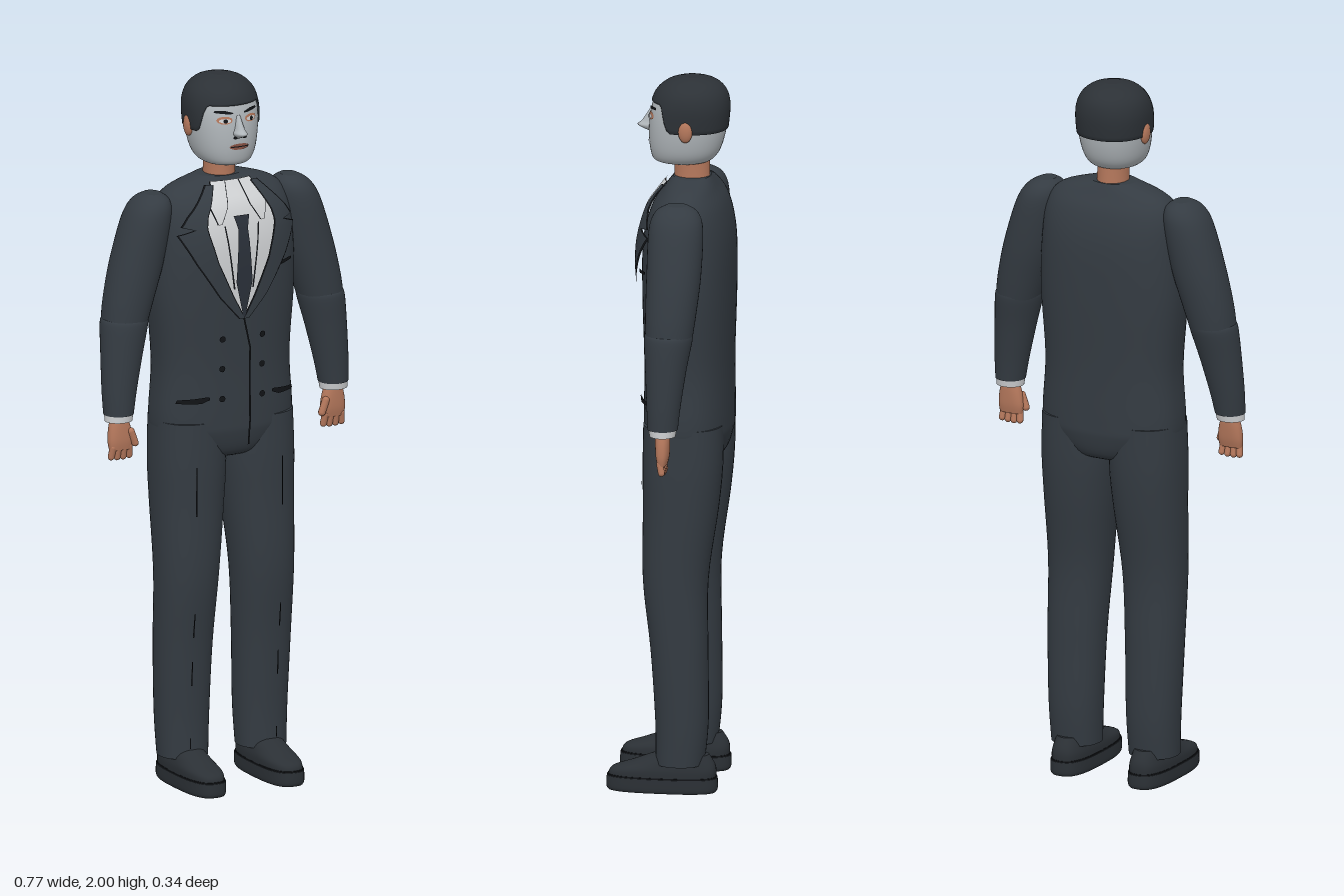
import * as THREE from 'three';

const paint = (name, color) => {
  const m = new THREE.MeshStandardMaterial({ color });
  m.name = name;
  return m;
};
const suit = paint('suit cloth', 0x343b42), hairMat = paint('hair', 0x2c3136);
const shirt = paint('shirt white', 0xcfd1d3), faceMat = paint('pale face', 0xb0b6ba);
const skin = paint('skin', 0xb5785c), shoeMat = paint('shoe leather', 0x2b3035);
const ink = paint('black seams', 0x111316), tieMat = paint('tie', 0x2a3039), lip = paint('lips', 0x8c5546);

// Cross-section rows are [y, cx, cz, rx, rz, squareness], from the bottom up
const torsoRows = [
  [0.925, 0, -0.043, 0.08, 0.06, 2.2], [0.945, 0, -0.043, 0.135, 0.1, 2.3], [1.0, 0, -0.043, 0.197, 0.118, 2.4],
  [1.05, 0, -0.043, 0.207, 0.12, 2.5], [1.2, 0, -0.043, 0.199, 0.119, 2.5], [1.4, 0, -0.043, 0.213, 0.124, 2.5],
  [1.55, 0, -0.043, 0.208, 0.122, 2.5], [1.64, 0, -0.045, 0.197, 0.102, 2.4], [1.69, 0, -0.048, 0.16, 0.072, 2.2],
  [1.72, 0, -0.05, 0.07, 0.052, 2]];
const legRows = [
  [0.08, 0.122, -0.035, 0.07, 0.067, 2.2], [0.2, 0.122, -0.04, 0.075, 0.073, 2.2], [0.4, 0.122, -0.033, 0.081, 0.079, 2.2],
  [0.6, 0.117, -0.022, 0.088, 0.09, 2.2], [0.8, 0.109, -0.035, 0.1, 0.104, 2.2], [0.92, 0.106, -0.04, 0.104, 0.11, 2.3],
  [1.04, 0.106, -0.042, 0.1, 0.11, 2.3]];
const upperArmRows = [
  [1.335, 0.305, -0.032, 0.064, 0.065, 2.1], [1.4, 0.29, -0.035, 0.07, 0.07, 2.1], [1.5, 0.263, -0.039, 0.074, 0.075, 2.1],
  [1.62, 0.232, -0.04, 0.066, 0.075, 2.1], [1.668, 0.218, -0.04, 0.05, 0.06, 2.1], [1.688, 0.213, -0.04, 0.024, 0.03, 2]];
const forearmRows = [
  [1.085, 0.34, -0.02, 0.042, 0.042, 2], [1.15, 0.334, -0.022, 0.049, 0.047, 2], [1.25, 0.32, -0.026, 0.059, 0.057, 2],
  [1.335, 0.306, -0.031, 0.067, 0.067, 2], [1.35, 0.303, -0.032, 0.06, 0.06, 2]];
const cuffRows = [[1.066, 0.341, -0.02, 0.039, 0.036, 2], [1.095, 0.339, -0.02, 0.041, 0.04, 2]];
const palmRows = [
  [0.985, 0.338, -0.02, 0.034, 0.013, 2.6], [1.01, 0.338, -0.02, 0.037, 0.018, 2.6],
  [1.045, 0.339, -0.02, 0.033, 0.02, 2.3], [1.08, 0.34, -0.02, 0.023, 0.02, 2]];
const soleRows = [[0, 0.122, 0.015, 0.052, 0.149, 2.8], [0.01, 0.122, 0.015, 0.056, 0.154, 2.8], [0.04, 0.122, 0.015, 0.056, 0.153, 2.8]];
const shoeRows = [
  [0.036, 0.122, 0.015, 0.053, 0.149, 2.7], [0.06, 0.122, 0.01, 0.053, 0.145, 2.7],
  [0.08, 0.122, -0.015, 0.049, 0.115, 2.4], [0.105, 0.122, -0.04, 0.044, 0.075, 2]];
const neckRows = [[1.66, 0, -0.05, 0.048, 0.052, 2], [1.72, 0, -0.05, 0.043, 0.049, 2], [1.79, 0, -0.048, 0.043, 0.05, 2]];
const headRows = [
  [1.757, 0, -0.02, 0.045, 0.055, 2.1], [1.766, 0, -0.024, 0.067, 0.08, 2.2], [1.79, 0, -0.03, 0.083, 0.095, 2.2],
  [1.83, 0, -0.035, 0.093, 0.104, 2.2], [1.88, 0, -0.04, 0.098, 0.107, 2.2], [1.925, 0, -0.045, 0.098, 0.104, 2.1],
  [1.96, 0, -0.048, 0.086, 0.091, 2], [1.984, 0, -0.05, 0.058, 0.062, 2], [1.995, 0, -0.05, 0.02, 0.022, 2]];
const noseRows = [
  [1.843, 0, 0.062, 0.012, 0.014, 2], [1.856, 0, 0.07, 0.018, 0.032, 2],
  [1.87, 0, 0.066, 0.013, 0.023, 2], [1.905, 0, 0.056, 0.007, 0.01, 2]];

// Smooth row at a fractional index, and at a height
function rowAt(rows, t) {
  const last = rows.length - 1, i = Math.min(Math.floor(t), last - 1), f = t - i;
  const [a, b, c, d] = [-1, 0, 1, 2].map(k => rows[Math.max(0, Math.min(last, i + k))]);
  return b.map((v, k) => v + 0.5 * f * (c[k] - a[k] + f * (2 * a[k] - 5 * v + 4 * c[k] - d[k] + f * (3 * (v - c[k]) + d[k] - a[k]))));
}
function rowAtHeight(rows, y) {
  let lo = 0, hi = rows.length - 1;
  for (let k = 0; k < 26; k++) {
    const mid = (lo + hi) / 2;
    if (rowAt(rows, mid)[0] < y) lo = mid; else hi = mid;
  }
  return rowAt(rows, lo);
}
const bend = (v, n) => Math.sign(v) * Math.abs(v) ** (2 / n);
const onRow = ([y, cx, cz, rx, rz, n], a, grow = 0) =>
  [cx + (rx + grow) * bend(Math.cos(a), n), y, cz + (rz + grow) * bend(Math.sin(a), n)];

function geometry(positions, index) {
  const g = new THREE.BufferGeometry();
  g.setAttribute('position', new THREE.Float32BufferAttribute(positions.flat(), 3));
  g.setIndex(index);
  g.computeVertexNormals();
  return g;
}

// Closed skin over rings of points, capped at both ends
function skinRings(rings) {
  const n = rings[0].length, pos = rings.flat(), index = [];
  for (let r = 0; r < rings.length - 1; r++) for (let j = 0; j < n; j++) {
    const a = r * n + j, b = r * n + (j + 1) % n;
    index.push(a, a + n, b, b, a + n, b + n);
  }
  for (const end of [0, rings.length - 1]) {
    const ring = rings[end], base = pos.length;
    pos.push(...ring, [0, 1, 2].map(k => ring.reduce((s, p) => s + p[k], 0) / n));
    for (let j = 0; j < n; j++) {
      const a = base + j, b = base + (j + 1) % n;
      index.push(base + n, ...(end ? [b, a] : [a, b]));
    }
  }
  return geometry(pos, index);
}
function loft(rows, sides = 40, steps = 5) {
  const count = (rows.length - 1) * steps;
  return skinRings(Array.from({ length: count + 1 }, (_, i) => {
    const row = rowAt(rows, i / steps);
    return Array.from({ length: sides }, (_, j) => onRow(row, j / sides * Math.PI * 2));
  }));
}

// Thin panel laid on the front of a body; rows [y, x0, x1] run downwards
function panel(body, rows, lift, s = 1) {
  const cols = 6, steps = 4, pos = [], index = [];
  const count = (rows.length - 1) * steps;
  for (let i = 0; i <= count; i++) {
    const k = Math.min(Math.floor(i / steps), rows.length - 2), f = i / steps - k;
    const [y, x0, x1] = rows[k].map((v, q) => v + (rows[k + 1][q] - v) * f);
    const [, cx, cz, rx, rz, n] = rowAtHeight(body, y);
    for (let j = 0; j <= cols; j++) {
      const x = s > 0 ? x0 + (x1 - x0) * j / cols : -x1 + (x1 - x0) * j / cols;
      const u = Math.min(1, Math.abs((x - cx) / rx));
      pos.push([x, y, cz + rz * (1 - u ** n) ** (1 / n) + lift]);
      if (i < count && j < cols) {
        const a = i * (cols + 1) + j, b = a + cols + 1;
        index.push(a, b, a + 1, a + 1, b, b + 1);
      }
    }
  }
  return geometry(pos, index);
}
const oval = (x, y, rx, ry) => Array.from({ length: 7 }, (_, i) => {
  const a = i / 6 * Math.PI, w = rx * Math.sin(a);
  return [y + ry * Math.cos(a), x - w, x + w];
});
const widen = (rows, d) => rows.map(([y, a, b]) => [y, a - d, b + d]);

export function createModel() {
  const model = new THREE.Group();
  const add = (name, geo, mat) => {
    const m = new THREE.Mesh(geo, mat);
    m.name = name;
    model.add(m);
    return m;
  };

  // Jacket, shirt front and tie
  add('jacketBody', loft(torsoRows, 56), suit);
  add('neck', loft(neckRows), skin);
  const half = rows => rows.map(([y, w]) => [y, -w, w]);
  add('shirtFront', panel(torsoRows, half([[1.712, 0.06], [1.66, 0.088], [1.6, 0.108], [1.5, 0.084], [1.4, 0.038], [1.335, 0.002]]), 0.012), shirt);
  add('tie', panel(torsoRows, half([[1.625, 0.024], [1.59, 0.015], [1.44, 0.025], [1.34, 0.003]]), 0.018), tieMat);
  add('jacketOpening', panel(torsoRows, [[1.335, -0.002, 0.003], [1.25, 0.018, 0.023], [0.97, 0.018, 0.023]], 0.016), ink);

  const lapel = [[1.705, 0.06, 0.078], [1.63, 0.1, 0.15], [1.603, 0.106, 0.168], [1.596, 0.106, 0.135], [1.58, 0.103, 0.178],
    [1.5, 0.08, 0.135], [1.4, 0.035, 0.07], [1.335, 0, 0.012]];
  const collar = [[1.712, 0.022, 0.06], [1.65, 0.036, 0.085], [1.605, 0.062, 0.07]];
  for (const s of [1, -1]) {
    const side = s > 0 ? 'left' : 'right';
    const flip = rows => rows.map(([y, cx, ...rest]) => [y, s * cx, ...rest]);
    add(side + 'LapelEdge', panel(torsoRows, widen(lapel, 0.004), 0.017, s), ink);
    add(side + 'Lapel', panel(torsoRows, lapel, 0.02, s), suit);
    add(side + 'CollarEdge', panel(torsoRows, widen(collar, 0.003), 0.014, s), ink);
    add(side + 'Collar', panel(torsoRows, collar, 0.016, s), shirt);
    add(side + 'ShirtPleat', panel(torsoRows, [[1.6, 0.05, 0.054], [1.42, 0.026, 0.031]], 0.014, s), ink);
    add(side + 'HipPocket', panel(torsoRows, [[1.118, 0.098, 0.104], [1.11, 0.096, 0.178], [1.1, 0.12, 0.182]], 0.01, s), ink);
    for (const y of [1.28, 1.195, 1.11]) add(side + 'Button', panel(torsoRows, oval(0.062, y, 0.009, 0.009), 0.012, s), ink);

    // Trousers and shoes
    add(side + 'TrouserLeg', loft(flip(legRows)), suit);
    for (const [top, low] of [[0.92, 0.78], [0.5, 0.43], [0.36, 0.29], [0.14, 0.11]])
      add(side + 'TrouserCrease', panel(flip(legRows), [[top, 0.132, 0.135], [low, 0.132, 0.136]], 0.004, s), ink);
    add(side + 'Sole', loft(flip(soleRows)), shoeMat);
    add(side + 'SoleSeam', loft(flip([[0.038, 0.122, 0.015, 0.054, 0.151, 2.8], [0.044, 0.122, 0.015, 0.054, 0.151, 2.8]])), ink);
    add(side + 'Shoe', loft(flip(shoeRows)), shoeMat);

    // Arms; the right forearm swings slightly forward
    const swing = rows => flip(rows).map(([y, cx, cz, ...rest]) =>
      [y, cx, cz + (s < 0 ? Math.max(0, 1.34 - y) * 0.08 : 0), ...rest]);
    add(side + 'UpperSleeve', loft(flip(upperArmRows)), suit);
    add(side + 'LowerSleeve', loft(swing(forearmRows)), suit);
    add(side + 'Cuff', loft(swing(cuffRows)), shirt);
    add(side + 'Palm', loft(swing(palmRows), 24), skin);
    const handZ = s < 0 ? 0.007 : -0.02;
    for (let i = 0; i < 4; i++) {
      const finger = add(side + 'Finger', new THREE.CapsuleGeometry(0.0095, 0.034 - 0.004 * Math.abs(i - 1.4), 4, 10), skin);
      finger.position.set(s * (0.312 + i * 0.0175), 0.979, handZ + 0.002);
      finger.rotation.set(0.2, 0, s * (i - 1.5) * 0.08);
    }
    const thumb = add(side + 'Thumb', new THREE.CapsuleGeometry(0.0105, 0.036, 4, 10), skin);
    thumb.position.set(s * 0.305, 1.018, handZ + 0.012);
    thumb.rotation.z = -s * 0.35;

    // Ears, eyes and brows
    const ear = add(side + 'Ear', new THREE.SphereGeometry(1, 16, 12), skin);
    ear.scale.set(0.012, 0.031, 0.02);
    ear.position.set(s * 0.098, 1.865, -0.045);
    add(side + 'Eyelid', panel(headRows, oval(0.04, 1.894, 0.021, 0.011), 0.002, s), skin);
    add(side + 'EyeWhite', panel(headRows, oval(0.04, 1.893, 0.016, 0.006), 0.004, s), shirt);
    add(side + 'Iris', panel(headRows, oval(0.04, 1.893, 0.006, 0.006), 0.006, s), ink);
    add(side + 'Brow', panel(headRows, [[1.921, 0.04, 0.062], [1.915, 0.018, 0.066], [1.911, 0.016, 0.03]], 0.003, s), ink);
    add(side + 'Nostril', panel(headRows, oval(0.014, 1.845, 0.007, 0.004), 0.006, s), ink);
  }
  add('breastPocket', panel(torsoRows, [[1.481, 0.155, 0.168], [1.474, 0.1, 0.168], [1.466, 0.1, 0.12]], 0.008), ink);

  // Head, nose, mouth and hair cap
  add('head', loft(headRows, 48), faceMat);
  add('nose', loft(noseRows, 20), faceMat);
  add('lips', panel(headRows, oval(0, 1.818, 0.03, 0.009), 0.003), lip);
  add('mouthLine', panel(headRows, [[1.82, -0.027, 0.027], [1.817, -0.027, 0.027]], 0.005), ink);
  const hairRings = Array.from({ length: 22 }, (_, i) => Array.from({ length: 64 }, (_, j) => {
    const a = j / 64 * Math.PI * 2;
    const line = 1.857 + 0.076 * THREE.MathUtils.smoothstep(Math.sin(a), 0.3, 0.7);
    const f = Math.max(0, i - 1) / 20;
    const row = rowAtHeight(headRows, line + (1.995 - line) * (1 - (1 - f) ** 1.6));
    const p = onRow(row, a, i ? 0.005 : 0);
    p[1] += 0.005 * f;
    return p;
  }));
  add('hair', skinRings(hairRings), hairMat);
  return model;
}
